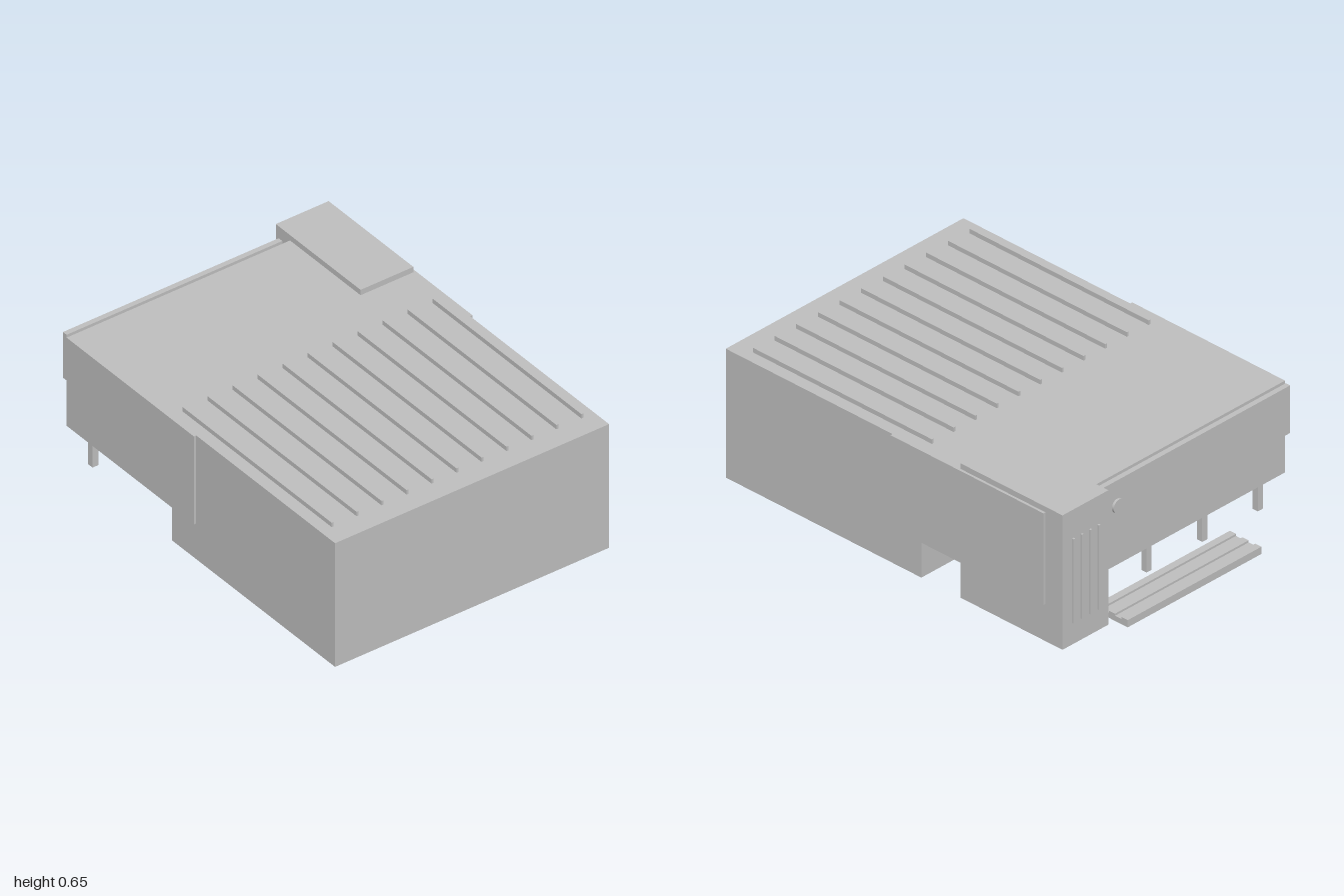
import * as THREE from 'three';

export function createModel() {
  const group = new THREE.Group();
  group.name = 'building';
  const grey = new THREE.MeshStandardMaterial({ color: 0xbfbfbf });
  grey.name = 'plain grey';

  // Box given by its minimum and maximum on each axis
  function box(name, [x0, x1], [y0, y1], [z0, z1]) {
    const mesh = new THREE.Mesh(new THREE.BoxGeometry(x1 - x0, y1 - y0, z1 - z0), grey);
    mesh.position.set((x0 + x1) / 2, (y0 + y1) / 2, (z0 + z1) / 2);
    mesh.name = name;
    group.add(mesh);
    return mesh;
  }

  const W = 0.705, ROOF = 0.626, EAVE = 0.18, BACK = -0.83;

  // Main hall and the overhanging rear part
  box('mainHall', [-W, W], [0, ROOF], [-0.12, 1]);
  box('overhang', [-W, W], [EAVE, ROOF], [BACK, -0.12]);

  // Thin cladding on both sides
  box('claddingLeft', [W, 0.717], [EAVE, ROOF], [BACK, 0.045]);
  box('claddingRight', [-0.717, -W], [EAVE, ROOF], [BACK, 0.045]);

  // Roof fins
  for (let i = -5; i <= 5; i++) {
    const x = i * 0.1285;
    box('roofFin', [x - 0.005, x + 0.005], [ROOF, 0.648], [-0.125, 0.9]);
  }

  // Corner tower with vertical slats at the back
  box('tower', [0.433, W], [0, 0.653], [-0.928, -0.345]);
  for (let i = 0; i < 4; i++) {
    const x = 0.493 + i * 0.05;
    box('towerSlat', [x - 0.005, x + 0.005], [0.105, 0.515], [-0.937, -0.928]);
  }

  // Rear fascia panel with a round badge
  box('fascia', [-W, 0.405], [0.395, ROOF], [-0.871, -0.846]);
  const badge = new THREE.Mesh(new THREE.CylinderGeometry(0.033, 0.033, 0.011, 32), grey);
  badge.rotation.x = Math.PI / 2;
  badge.position.set(0.32, 0.505, -0.8765);
  badge.name = 'roundBadge';
  group.add(badge);

  // Posts under the overhang
  for (let i = 0; i < 4; i++) {
    const x = -0.643 + i * 0.33;
    box('post', [x - 0.015, x + 0.015], [0, EAVE], [-0.76, -0.73]);
  }

  // Entrance platform with raised treads
  box('platform', [-0.4, 0.393], [0, 0.025], [-1, -0.82]);
  for (let i = 0; i < 3; i++) {
    const z = -1 + i * 0.0725;
    box('tread', [-0.4, 0.393], [0.025, 0.035], [z, z + 0.035]);
  }

  return group;
}
